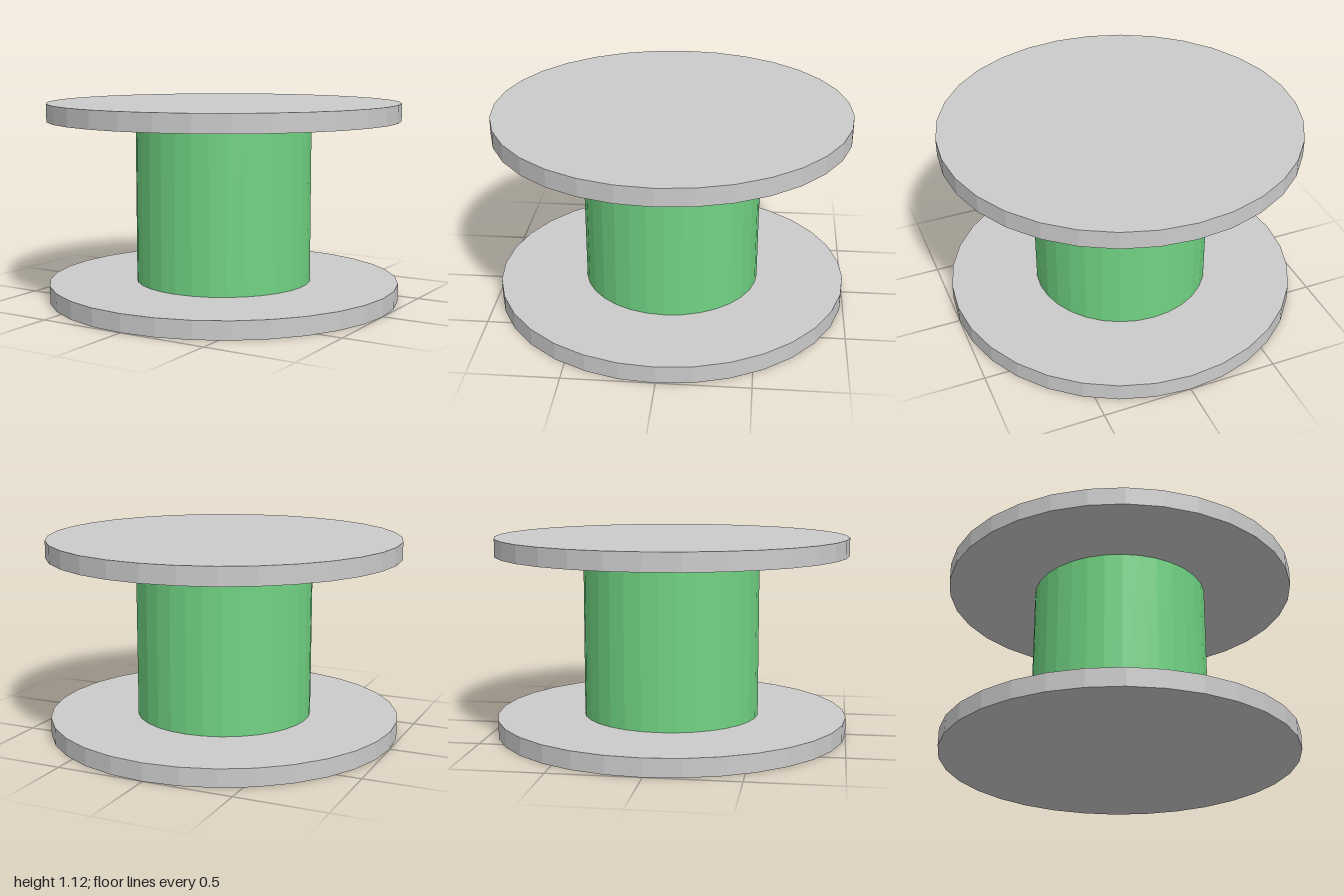
import * as THREE from 'three';

const SIDES = 32;
const FLANGE_RADIUS = 1;
const FLANGE_THICKNESS = 0.1;
const CORE_RADIUS = 0.5;
const HEIGHT = 1.12;

// Flat-shaded upright disc or drum spanning y0..y1
function drum(name, radius, y0, y1, color) {
  const mesh = new THREE.Mesh(
    new THREE.CylinderGeometry(radius, radius, y1 - y0, SIDES),
    new THREE.MeshStandardMaterial({ color, flatShading: true })
  );
  mesh.name = name;
  mesh.position.y = (y0 + y1) / 2;
  return mesh;
}

export function createModel() {
  const spool = new THREE.Group();
  spool.name = 'spool';

  // Two end plates with the wound core between them
  spool.add(
    drum('bottomFlange', FLANGE_RADIUS, 0, FLANGE_THICKNESS, 0xcccccc),
    drum('woundCore', CORE_RADIUS, FLANGE_THICKNESS, HEIGHT - FLANGE_THICKNESS, 0x71d483),
    drum('topFlange', FLANGE_RADIUS, HEIGHT - FLANGE_THICKNESS, HEIGHT, 0xcccccc)
  );
  return spool;
}
